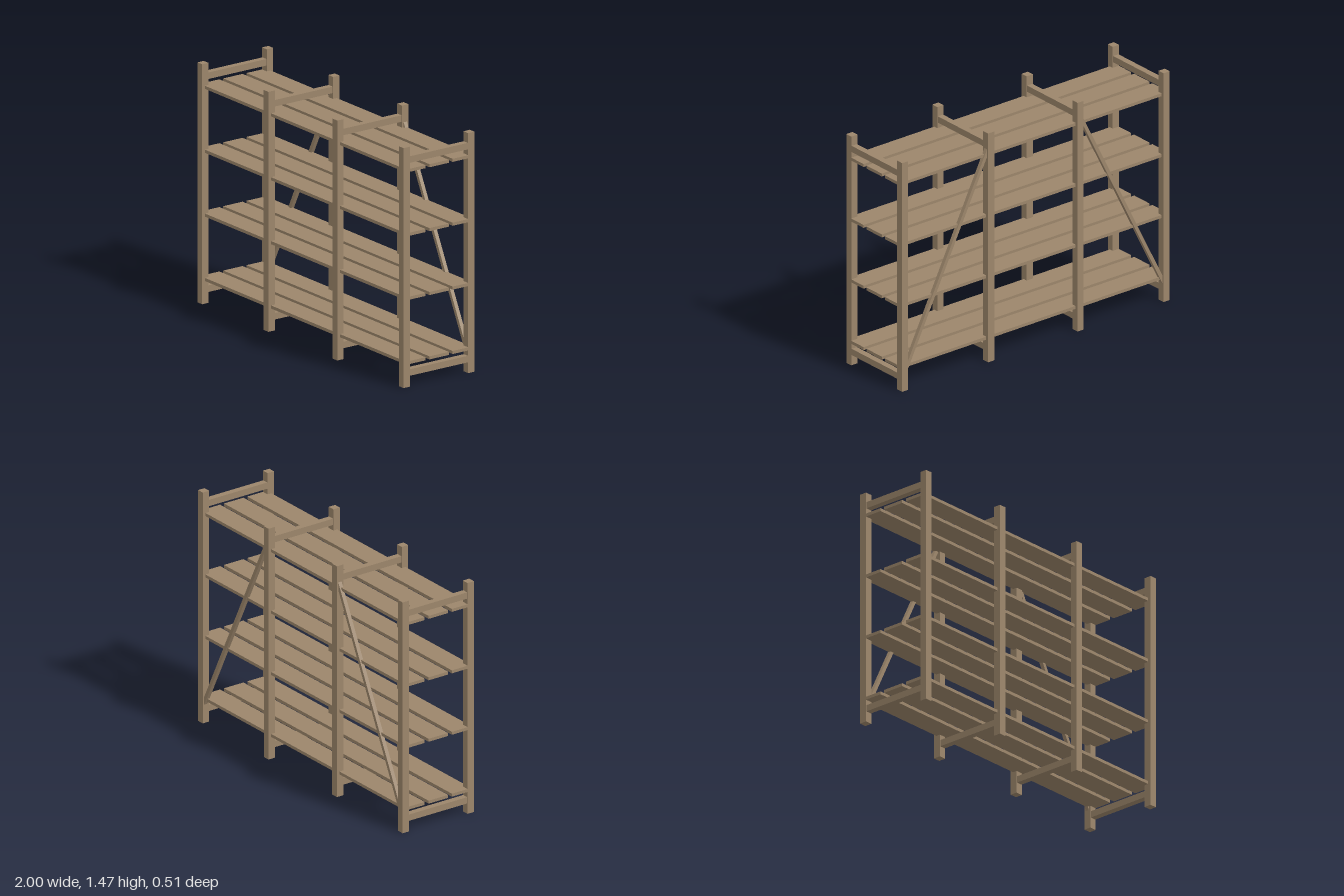
import * as THREE from 'three';

const HEIGHT = 1.465;
const POST = 0.046;
const POST_Z = 0.234;
const FRAME_X = [-0.977, -0.334, 0.334, 0.977];

export function createModel() {
  const wood = new THREE.MeshStandardMaterial({ color: 0x9c866b });
  wood.name = 'weathered wood';

  const model = new THREE.Group();
  model.name = 'shelvingUnit';

  const addBox = (parent, name, w, h, d, x, y, z) => {
    const mesh = new THREE.Mesh(new THREE.BoxGeometry(w, h, d), wood);
    mesh.name = name;
    mesh.position.set(x, y, z);
    parent.add(mesh);
    return mesh;
  };

  // Upright frames: two posts joined by a low and a high crossbar
  for (const x of FRAME_X) {
    const frame = new THREE.Group();
    frame.name = 'frame';
    frame.position.x = x;
    model.add(frame);
    addBox(frame, 'frontPost', POST, HEIGHT, POST, 0, HEIGHT / 2, POST_Z);
    addBox(frame, 'backPost', POST, HEIGHT, POST, 0, HEIGHT / 2, -POST_Z);
    for (const y of [0.085, 1.385]) {
      addBox(frame, 'crossbar', 0.039, 0.04, 2 * POST_Z - POST, 0, y, 0);
    }
  }

  // Shelves: three full-length planks each
  for (const y of [0.148, 0.541, 0.931, 1.321]) {
    const shelf = new THREE.Group();
    shelf.name = 'shelf';
    shelf.position.y = y;
    model.add(shelf);
    for (const z of [-0.168, 0, 0.168]) {
      addBox(shelf, 'plank', 2, 0.019, 0.14, 0, 0, z);
    }
  }

  // Diagonal braces at the back of the outer bays
  for (const side of [-1, 1]) {
    const low = new THREE.Vector2(side * 0.977, 0.095);
    const high = new THREE.Vector2(side * 0.334, 1.382);
    const run = high.clone().sub(low);
    const name = side > 0 ? 'leftBrace' : 'rightBrace';
    const brace = addBox(model, name, 0.022, run.length(), 0.024,
      (low.x + high.x) / 2, (low.y + high.y) / 2, -0.235);
    brace.rotation.z = Math.atan2(run.y, run.x) - Math.PI / 2;
  }

  return model;
}
